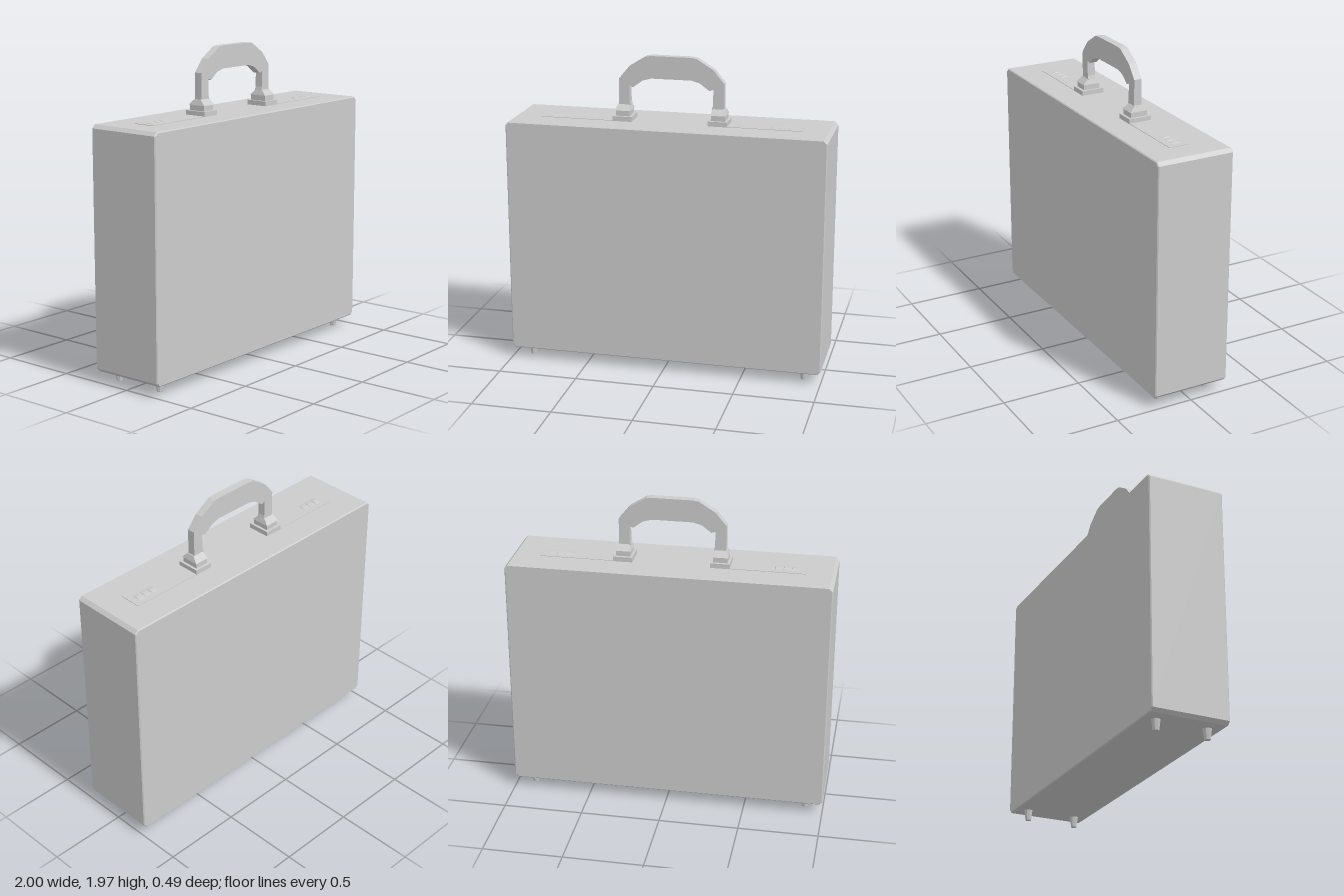
import * as THREE from 'three';

const material = new THREE.MeshStandardMaterial({ color: 0xcccccc, flatShading: true });

function add(parent, name, geometry, x = 0, y = 0, z = 0) {
  const mesh = new THREE.Mesh(geometry, material);
  mesh.name = name;
  mesh.position.set(x, y, z);
  parent.add(mesh);
  return mesh;
}

// Box standing on y = 0 whose top is resized to topW x topD
function taperedBox(w, h, d, topW, topD) {
  const g = new THREE.BoxGeometry(w, h, d).translate(0, h / 2, 0);
  const p = g.attributes.position;
  for (let i = 0; i < p.count; i++) {
    if (p.getY(i) > h / 2) {
      p.setX(i, Math.sign(p.getX(i)) * topW / 2);
      p.setZ(i, Math.sign(p.getZ(i)) * topD / 2);
    }
  }
  g.computeVertexNormals();
  return g;
}

// Rectangle with cut corners
function cutRectangle(x, y0, y1, c) {
  return new THREE.Shape([
    [-x + c, y0], [x - c, y0], [x, y0 + c], [x, y1 - c],
    [x - c, y1], [-x + c, y1], [-x, y1 - c], [-x, y0 + c],
  ].map(([a, b]) => new THREE.Vector2(a, b)));
}

export function createModel() {
  const model = new THREE.Group();
  model.name = 'briefcase';

  // Case with narrow bevelled edges
  const bevel = 0.006;
  const depth = 0.492;
  const caseGeometry = new THREE.ExtrudeGeometry(
    cutRectangle(1 - bevel, 0.065 + bevel, 1.562 - bevel, 0.018),
    { depth: depth - 2 * bevel, bevelThickness: bevel, bevelSize: bevel, bevelSegments: 1 },
  );
  add(model, 'case', caseGeometry, 0, 0, -depth / 2 + bevel);

  // Faceted arched handle: left half of each outline, then mirrored
  const mirrored = (half) => [...half, ...half.map(([x, y]) => [-x, y]).reverse()];
  const outer = mirrored([[-0.33, 1.655], [-0.33, 1.82], [-0.265, 1.9], [-0.16, 1.965], [-0.125, 1.97]]);
  const inner = mirrored([[-0.255, 1.655], [-0.262, 1.68], [-0.265, 1.78], [-0.24, 1.77], [-0.18, 1.815], [-0.125, 1.83]]);
  const handleShape = new THREE.Shape(
    [...outer, ...inner.reverse()].map(([x, y]) => new THREE.Vector2(x, y)),
  );
  const handleGeometry = new THREE.ExtrudeGeometry(handleShape, { depth: 0.05, bevelEnabled: false });
  add(model, 'handle', handleGeometry, 0, 0, -0.025);

  // One dial: a shallow drum mostly sunk in the case, with pinched ends
  const dialGeometry = new THREE.LatheGeometry(
    [[0, -0.025], [0.092, -0.025], [0.1, -0.019], [0.1, 0.019], [0.092, 0.025], [0, 0.025]]
      .map(([r, a]) => new THREE.Vector2(r, a)), 24,
  ).rotateZ(Math.PI / 2);

  for (const side of [-1, 1]) {
    const label = side > 0 ? 'left' : 'right';

    // Stepped handle mount
    const mount = new THREE.Group();
    mount.name = `${label}HandleMount`;
    mount.position.x = side * 0.3;
    model.add(mount);
    add(mount, 'mountPlate', taperedBox(0.12, 0.032, 0.146, 0.12, 0.146), 0, 1.56);
    add(mount, 'mountBlock', taperedBox(0.088, 0.034, 0.11, 0.088, 0.11), 0, 1.592);
    add(mount, 'mountCollar', taperedBox(0.098, 0.034, 0.12, 0.074, 0.05), 0, 1.626);

    // Thin strip under the lock
    add(model, `${label}LockStrip`, new THREE.BoxGeometry(0.52, 0.006, 0.14), side * 0.56, 1.562, 0);

    // Combination lock dials
    const lock = new THREE.Group();
    lock.name = `${label}Lock`;
    lock.position.set(side * 0.703, 1.47, 0);
    model.add(lock);
    for (let i = -1; i <= 1; i++) add(lock, 'lockDial', dialGeometry, i * 0.052);

    // Tapered feet
    for (const z of [-0.162, 0.162]) {
      add(model, `${label}${z > 0 ? 'Front' : 'Back'}Foot`,
        new THREE.CylinderGeometry(0.028, 0.019, 0.067, 8), side * 0.885, 0.0335, z);
    }
  }
  return model;
}
